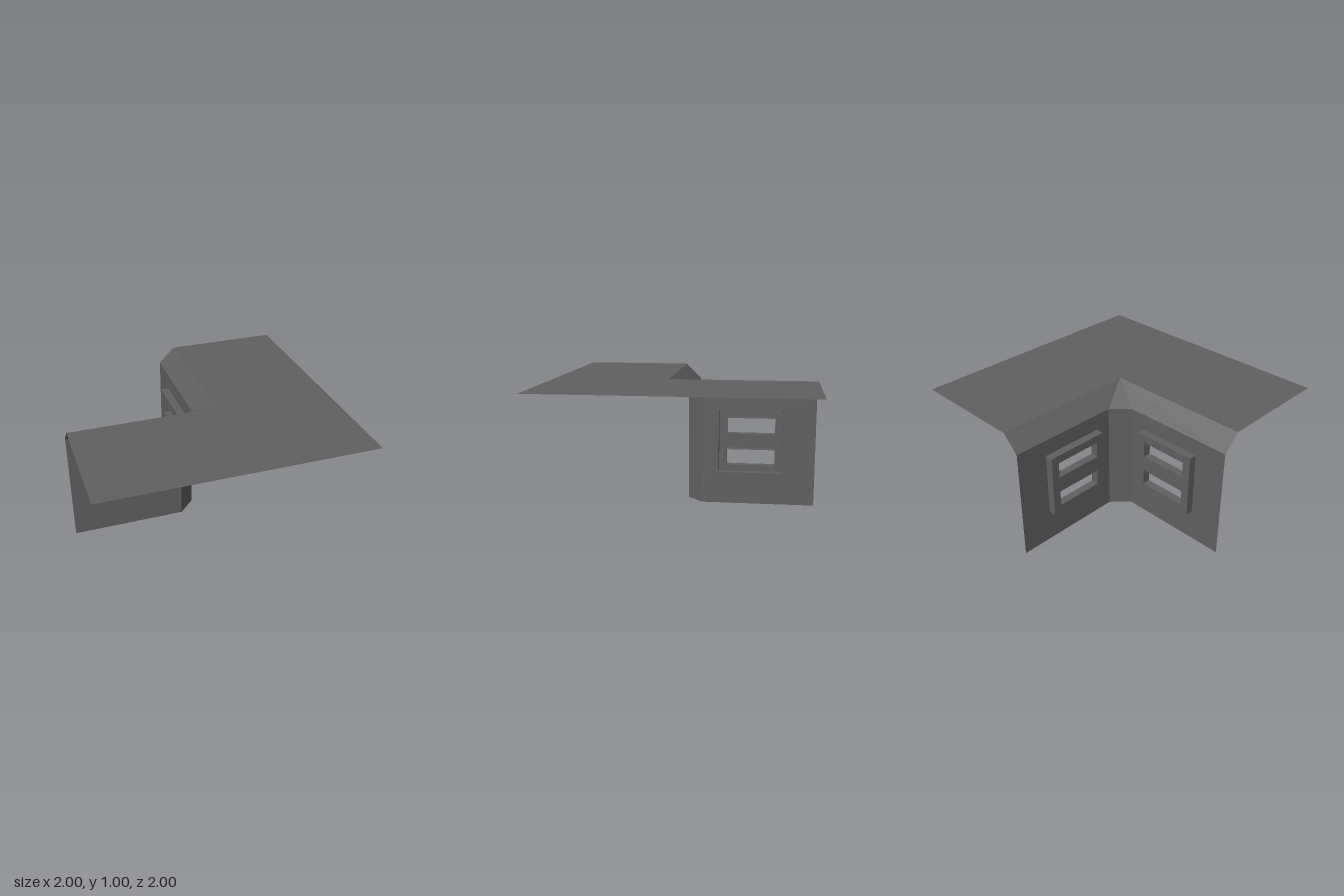
import * as THREE from 'three';

const CUT = 0.125;    // corner chamfer and eave overhang
const WALL_H = 0.875; // wall height below the eave
const DEPTH = 0.0625; // how far the window frame stands out

const rect = (x0, x1, y0, y1) => [[x0, y0], [x1, y0], [x1, y1], [x0, y1]];

// flat sheet from an outline with optional holes
function plate(outline, holes = []) {
  const path = (pts) => pts.map(([x, y]) => new THREE.Vector2(x, y));
  const shape = new THREE.Shape(path(outline));
  for (const h of holes) shape.holes.push(new THREE.Path(path(h)));
  return new THREE.ShapeGeometry(shape);
}

// convex polygons, each fanned into triangles with flat normals
function sheet(polys) {
  const pos = [];
  for (const p of polys) {
    for (let i = 1; i < p.length - 1; i++) pos.push(...p[0], ...p[i], ...p[i + 1]);
  }
  const g = new THREE.BufferGeometry();
  g.setAttribute('position', new THREE.Float32BufferAttribute(pos, 3));
  g.computeVertexNormals();
  return g;
}

// side faces around an outline, from the wall plane out to the frame face
function band(pts, inward) {
  return sheet(pts.map(([x0, y0], i) => {
    const [x1, y1] = pts[(i + 1) % pts.length];
    const q = [[x0, y0, 0], [x1, y1, 0], [x1, y1, DEPTH], [x0, y0, DEPTH]];
    return inward ? q.reverse() : q;
  }));
}

export function createModel() {
  const model = new THREE.Group();
  model.name = 'cornerWallWithRoof';
  const grey = new THREE.MeshStandardMaterial({ color: 0x606060, side: THREE.DoubleSide });
  grey.name = 'darkGrey';

  const add = (parent, name, geometry) => {
    const mesh = new THREE.Mesh(geometry, grey);
    mesh.name = name;
    parent.add(mesh);
  };

  // wall with a hollow window frame standing out on local +z
  function windowWall(name, s) {
    const wall = new THREE.Group();
    wall.name = name;
    const c = s * 0.5;
    const frame = rect(c - 0.25, c + 0.25, 0.25, 0.75);
    const slots = [0.3125, 0.5625].map((y) => rect(c - 0.1875, c + 0.1875, y, y + 0.125));
    const ends = [s * CUT, s].sort((a, b) => a - b);
    add(wall, 'wallPanel', plate(rect(ends[0], ends[1], 0, WALL_H), [frame]));
    const face = plate(frame, slots);
    face.translate(0, 0, DEPTH);
    add(wall, 'windowFrameFace', face);
    add(wall, 'windowFrameSides', band(frame, false));
    for (const slot of slots) add(wall, 'windowOpening', band(slot, true));
    model.add(wall);
    return wall;
  }
  windowWall('backWall', 1).rotation.y = Math.PI;
  windowWall('sideWall', -1).rotation.y = -Math.PI / 2;

  // chamfered corner between the walls
  const a = [-CUT, WALL_H, 0], b = [0, WALL_H, -CUT], tip = [CUT, 1, CUT];
  add(model, 'cornerPanel', sheet([[a, b, [0, 0, -CUT], [-CUT, 0, 0]]]));

  // sloping eaves, mirrored across the diagonal, and the corner piece
  const eave = [[-1, WALL_H, 0], [-1, 1, CUT], tip, a];
  add(model, 'backEave', sheet([eave]));
  add(model, 'sideEave', sheet([eave.map(([x, y, z]) => [z, y, x]).reverse()]));
  add(model, 'cornerEave', sheet([[a, tip, b]]));

  // L-shaped flat roof
  const roof = plate([[-1, -1], [1, -1], [1, 1], [CUT, 1], [CUT, -CUT], [-1, -CUT]]);
  roof.rotateX(-Math.PI / 2);
  roof.translate(0, 1, 0);
  add(model, 'roof', roof);

  return model;
}
